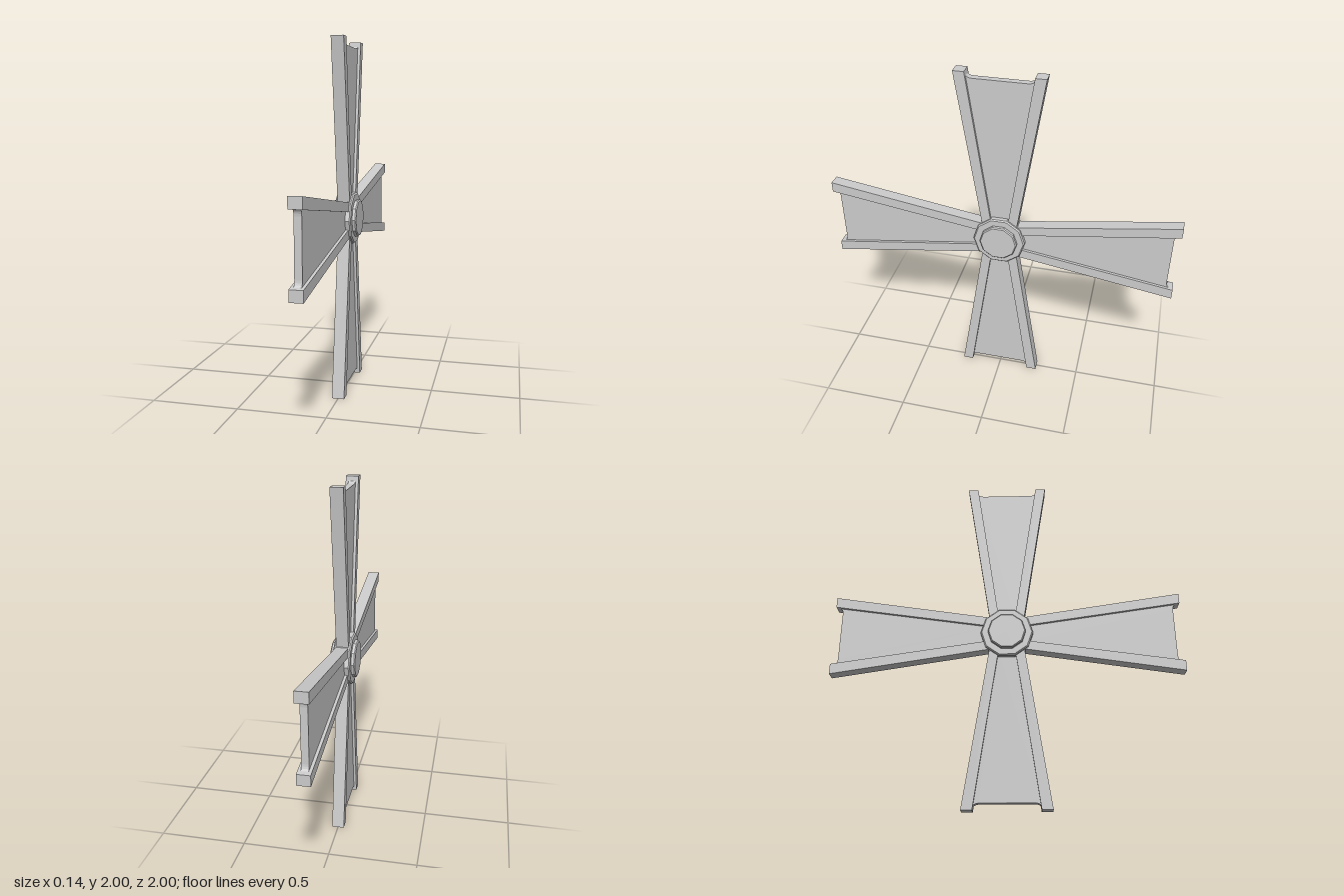
import * as THREE from 'three';

const material = new THREE.MeshStandardMaterial({ color: 0xcccccc, flatShading: true });

// Extrudes an outline (across, radial) to a thickness centred on x = 0
function slab(shape, thickness) {
  const g = new THREE.ExtrudeGeometry(shape, { depth: thickness, bevelEnabled: false, curveSegments: 4 });
  g.translate(0, 0, -thickness / 2);
  g.rotateY(Math.PI / 2);
  return g;
}

function mesh(name, geometry) {
  const m = new THREE.Mesh(geometry, material);
  m.name = name;
  return m;
}

// Tapered side rail; side is +1 or -1
function rail(side) {
  const pts = [[0.045, 0.09], [0.1, 0.1], [0.24, 1], [0.18, 1]];
  const shape = new THREE.Shape(pts.map(([z, r]) => new THREE.Vector2(side * z, r)));
  return slab(shape, 0.07);
}

// Thin web between the rails, its tip flaring into them
function web() {
  const s = new THREE.Shape();
  s.moveTo(-0.05, 0.08);
  s.lineTo(0.05, 0.08);
  s.lineTo(0.18, 0.98);
  s.quadraticCurveTo(0.172, 0.963, 0.145, 0.962);
  s.lineTo(-0.145, 0.962);
  s.quadraticCurveTo(-0.172, 0.963, -0.18, 0.98);
  return slab(s, 0.038);
}

function disc(name, rimRadius, faceRadius, half, bevel) {
  const profile = [[0, -half], [faceRadius, -half], [rimRadius, -half + bevel],
    [rimRadius, half - bevel], [faceRadius, half], [0, half]];
  const g = new THREE.LatheGeometry(profile.map(([r, y]) => new THREE.Vector2(r, y)), 10);
  g.rotateZ(Math.PI / 2);
  return mesh(name, g);
}

export function createModel() {
  const model = new THREE.Group();
  model.name = 'windmillSails';

  // Four identical sails around the hub
  const left = rail(1), right = rail(-1), panel = web();
  for (let i = 0; i < 4; i++) {
    const sail = new THREE.Group();
    sail.name = 'sail' + (i + 1);
    sail.add(mesh('railA', left), mesh('railB', right), mesh('sailPanel', panel));
    sail.rotation.x = i * Math.PI / 2;
    sail.position.y = 1;
    model.add(sail);
  }

  // Ten-sided stepped hub
  const hub = new THREE.Group();
  hub.name = 'hub';
  hub.add(disc('hubRim', 0.15, 0.143, 0.05, 0.007), disc('hubCap', 0.108, 0.102, 0.072, 0.006));
  hub.position.y = 1;
  model.add(hub);
  return model;
}
